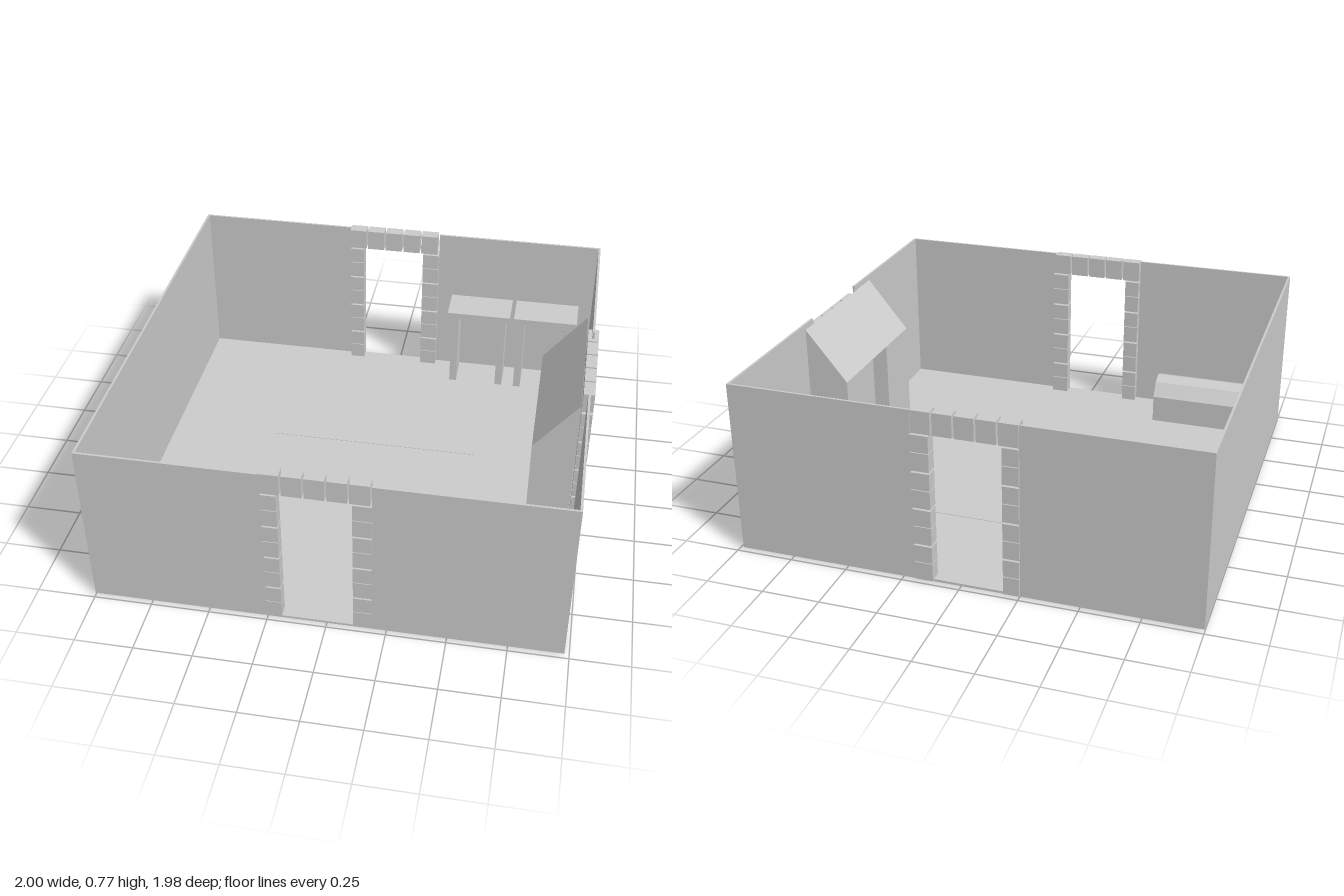
import * as THREE from 'three';

export function createModel() {
  const model = new THREE.Group();
  const mat = new THREE.MeshStandardMaterial({
    color: 0xcccccc, flatShading: true, side: THREE.DoubleSide,
  });

  const add = (parent, name, geometry) => {
    const mesh = new THREE.Mesh(geometry, mat);
    mesh.name = name;
    parent.add(mesh);
    return mesh;
  };
  // Box given by its extents on each axis
  const box = (parent, name, [x0, x1], [y0, y1], [z0, z1]) => {
    const mesh = add(parent, name, new THREE.BoxGeometry(x1 - x0, y1 - y0, z1 - z0));
    mesh.position.set((x0 + x1) / 2, (y0 + y1) / 2, (z0 + z1) / 2);
    return mesh;
  };
  const group = (name) => {
    const g = new THREE.Group();
    g.name = name;
    model.add(g);
    return g;
  };

  // Floor and thin walls, each doorway a full-height gap
  const T = 0.01, H = [0.015, 0.77];
  box(model, 'floor', [-1, 0.98], [0.01, 0.02], [-0.985, 0.985]);
  const walls = group('walls');
  box(walls, 'leftWall', [-1, -1 + T], H, [-0.985, 0.985]);
  for (const z of [-0.985, 0.985 - T]) {
    box(walls, 'endWall', [-1, -0.25], H, [z, z + T]);
    box(walls, 'endWall', [0.19, 0.98], H, [z, z + T]);
  }
  box(walls, 'sideWall', [0.98 - T, 0.98], H, [0.21, 0.985]);
  box(walls, 'sideWall', [0.98 - T, 0.98], H, [-0.985, -0.23]);

  // Stone surround: two columns and a lintel row, running along u with depth d
  const surround = (name, alongX, d, left, right, yBase, yLintel, yTop) => {
    const g = group(name);
    const stone = (u, y) => (alongX ? box(g, 'stone', u, y, d) : box(g, 'stone', d, y, u));
    const rows = 8, gap = 0.008, step = (yLintel - yBase) / rows;
    for (let i = 0; i < rows; i++) {
      const y = [yBase + i * step, yBase + (i + 1) * step - (i % 2 ? gap : 0.003)];
      stone(left, y);
      stone(right, y);
    }
    const w = (right[1] - left[0]) / 5;
    for (let i = 0; i < 5; i++) {
      const u = left[0] + i * w;
      stone([u, u + w - gap], [yLintel, yTop]);
    }
  };
  surround('frontDoorway', true, [0.935, 0.987], [-0.255, -0.187], [0.113, 0.192], 0.015, 0.678, 0.775);
  surround('backDoorway', true, [-0.995, -0.94], [-0.255, -0.187], [0.113, 0.192], 0.015, 0.678, 0.775);
  surround('sideDoorway', false, [0.952, 1.0], [-0.305, -0.225], [0.12, 0.205], 0.03, 0.645, 0.735);

  // Open-backed hearth: side cheeks, two front piers and a sloping hood
  const hearth = group('hearth');
  const X0 = 0.76, X1 = 0.945, Z0 = -0.355, Z1 = 0.325, low = 0.535, high = 0.765, t = 0.008;
  const extrude = (name, pts, z0, z1) => {
    const shape = new THREE.Shape(pts.map((p) => new THREE.Vector2(...p)));
    const mesh = add(hearth, name,
      new THREE.ExtrudeGeometry(shape, { depth: z1 - z0, bevelEnabled: false }));
    mesh.position.z = z0;
  };
  const cheek = [[X0, 0.008], [X1, 0.008], [X1, high], [X0, low]];
  extrude('cheek', cheek, Z0, Z0 + t);
  extrude('cheek', cheek, Z1 - t, Z1);
  extrude('hood', [[X0, low], [X0 + 0.012, low], [X1, high - 0.012], [X1, high]], Z0, Z1);
  box(hearth, 'pier', [X0, X0 + t], [0.008, low], [Z0, -0.12]);
  box(hearth, 'pier', [X0, X0 + t], [0.008, low], [0.08, Z1]);
  box(hearth, 'hearthBase', [X0, X1], [0.008, 0.022], [Z0, Z1]);

  // Thin rug set into the floor
  box(model, 'rug', [-0.5, 0.48], [0.007, 0.022], [-0.48, -0.21]);

  // Pair of panel-legged tables against the back wall
  for (const x of [0.265, 0.595]) {
    const table = group('table');
    box(table, 'tableTop', [x, x + 0.31], [0.41, 0.44], [-0.965, -0.79]);
    for (const lx of [x + 0.02, x + 0.255]) {
      box(table, 'tableLeg', [lx, lx + 0.035], [0.007, 0.41], [-0.945, -0.81]);
    }
  }

  // Chest with a faceted, arched lid
  const chest = group('chest');
  box(chest, 'chestBody', [-0.86, -0.4], [0, 0.15], [0.73, 0.925]);
  const arch = new THREE.Shape();
  arch.moveTo(-0.0975, 0);
  for (const [a, b] of [[-0.055, 0.065], [0, 0.085], [0.055, 0.065], [0.0975, 0]]) arch.lineTo(a, b);
  const lid = add(chest, 'chestLid',
    new THREE.ExtrudeGeometry(arch, { depth: 0.46, bevelEnabled: false }));
  lid.rotation.y = Math.PI / 2;
  lid.position.set(-0.86, 0.15, 0.8275);

  return model;
}
